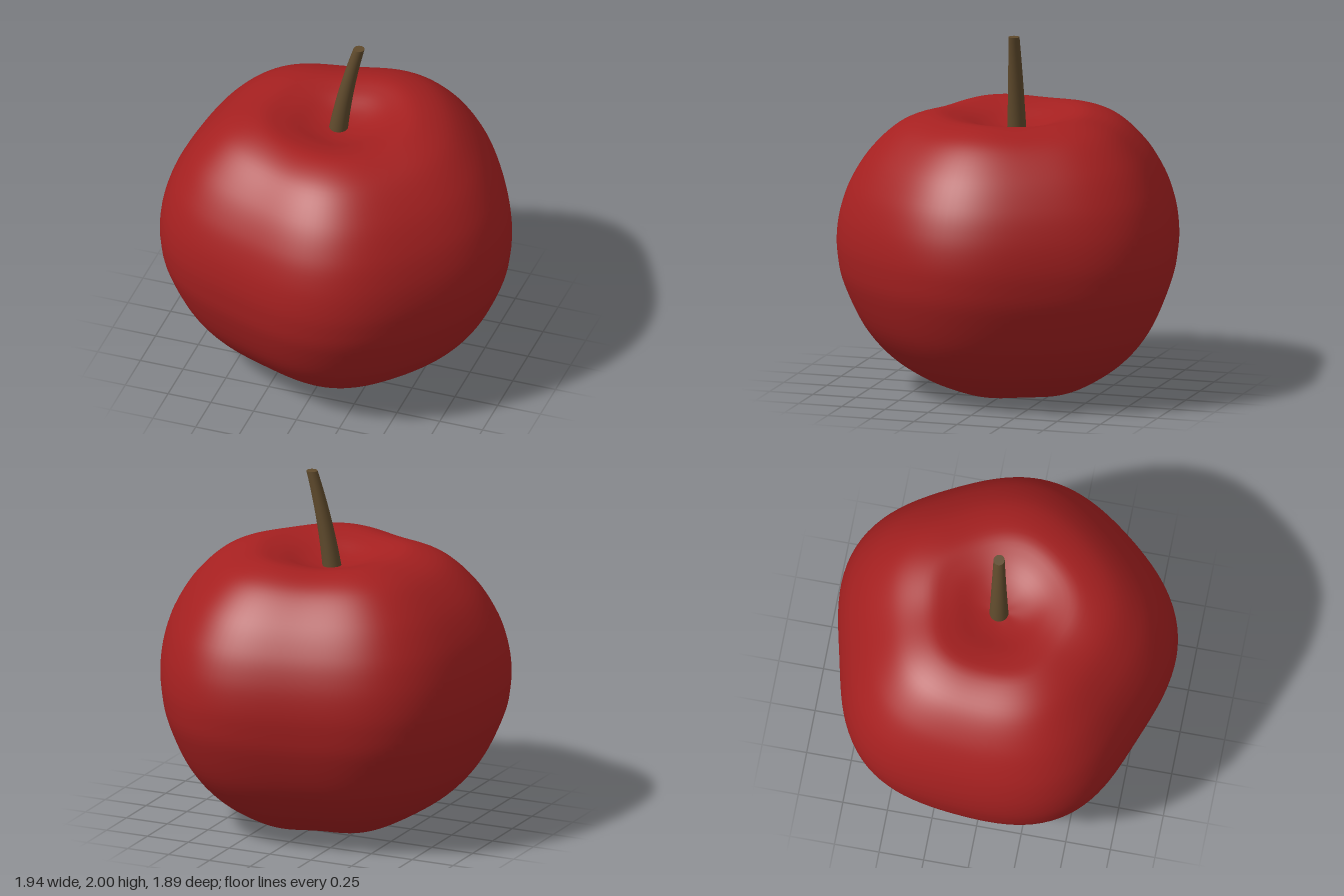
import * as THREE from 'three';
import { mergeVertices } from 'three/addons/utils/BufferGeometryUtils.js';

const AXIS_X = -0.009; // the core sits slightly off centre because of the uneven lobes
const GIRTH = 0.953; // mean radius of the widest cross-section

const paint = (color) => new THREE.MeshStandardMaterial({ color });

// Moves every vertex by a rule, then welds the seam and smooths the normals
function reshape(geometry, rule) {
  const p = geometry.attributes.position;
  const v = new THREE.Vector3();
  for (let i = 0; i < p.count; i++) {
    rule(v.fromBufferAttribute(p, i));
    p.setXYZ(i, v.x, v.y, v.z);
  }
  geometry.deleteAttribute('uv');
  geometry.deleteAttribute('normal');
  const welded = mergeVertices(geometry, 1e-5);
  welded.computeVertexNormals();
  return welded;
}

// Relative bulge at an angle from +x towards +z: five lobes plus a slight unevenness
function lobeAt(a) {
  return (0.029 * Math.cos(5 * (a - 0.087)) + 0.018 * Math.cos(2 * a)
    - 0.016 * Math.cos(3 * a) - 0.008 * Math.cos(4 * a)) / GIRTH;
}

// Fruit body: lathed profile with dimples at both ends, pushed into soft lobes
function makeBody() {
  const profile = new THREE.SplineCurve([
    [0, 0.045], [0.1, 0.038], [0.2, 0.018], [0.3, 0.006], [0.46, 0.06], [0.66, 0.19],
    [0.81, 0.365], [0.917, 0.6], [0.95, 0.76], [0.953, 0.89], [0.93, 1.03], [0.875, 1.18],
    [0.77, 1.345], [0.615, 1.488], [0.44, 1.551], [0.3, 1.533], [0.16, 1.485], [0.07, 1.465],
    [0, 1.46],
  ].map(([r, y]) => new THREE.Vector2(r, y)));
  const points = profile.getSpacedPoints(90);
  points[0].x = points[points.length - 1].x = 0;

  const geometry = reshape(new THREE.LatheGeometry(points, 120), (v) => {
    const r = Math.hypot(v.x, v.z);
    const lobe = lobeAt(Math.atan2(v.z, v.x));
    // lobes soften towards the underside
    const swell = 1 + lobe * THREE.MathUtils.lerp(0.6, 1, Math.min(1, v.y / 0.7));
    v.x *= swell;
    v.z *= swell;
    v.y = 0.78 + (v.y - 0.78) * (1 + 0.2 * lobe * Math.min(1, r / 0.4));
  });
  const body = new THREE.Mesh(geometry, paint(0xa52020));
  body.name = 'fruitBody';
  body.position.x = AXIS_X;
  return body;
}

// Stem: tapered cylinder whose level rings follow a gentle bend
function makeStem() {
  const bottom = 1.4, height = 0.6;
  const bend = new THREE.QuadraticBezierCurve(
    new THREE.Vector2(-0.03, -0.01), new THREE.Vector2(0.005, -0.018), new THREE.Vector2(0.09, -0.032));
  const material = paint(0x5f4a2c);
  const side = new THREE.Mesh(
    reshape(new THREE.CylinderGeometry(0.031, 0.055, height, 24, 20, true), (v) => {
      const t = THREE.MathUtils.clamp(v.y / height + 0.5, 0, 1);
      const c = bend.getPoint(t);
      v.set(v.x + c.x, bottom + t * height, v.z + c.y);
    }), material);
  side.name = 'stemSide';

  const tip = new THREE.Mesh(new THREE.CircleGeometry(0.031, 24), material);
  tip.name = 'stemTip';
  tip.rotation.x = -Math.PI / 2;
  tip.position.set(0.09, 2, -0.032);

  const stem = new THREE.Group();
  stem.name = 'stem';
  stem.add(side, tip);
  return stem;
}

// Calyx: flattened dark button set into the bottom dimple
function makeCalyx() {
  const calyx = new THREE.Mesh(new THREE.SphereGeometry(0.21, 32, 16), paint(0x4a2a1c));
  calyx.name = 'calyx';
  calyx.scale.y = 0.18;
  calyx.position.set(AXIS_X, 0.052, 0);
  return calyx;
}

export function createModel() {
  const fruit = new THREE.Group();
  fruit.name = 'fruit';
  fruit.add(makeBody(), makeStem(), makeCalyx());
  return fruit;
}
